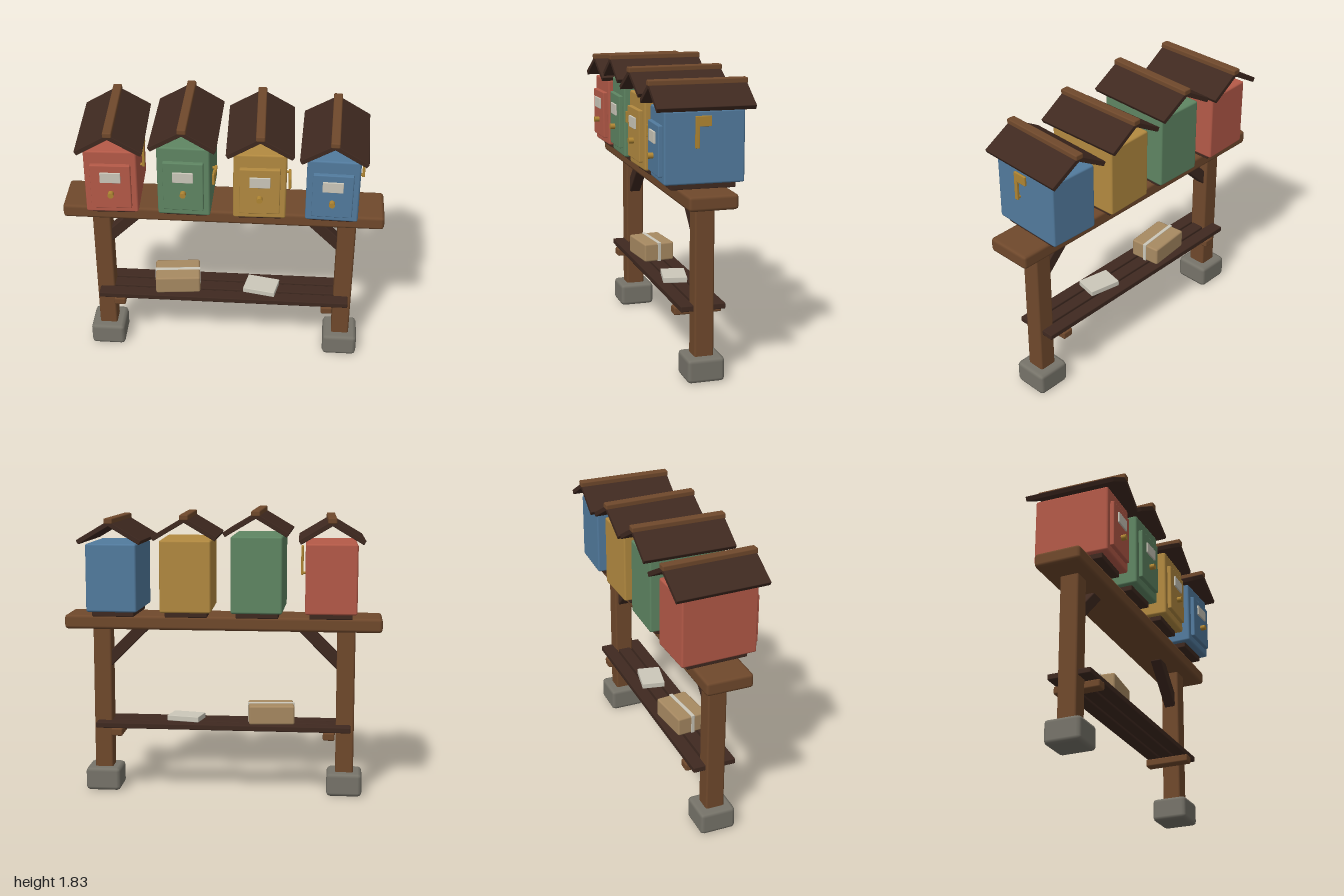
import * as THREE from 'three';
import { RoundedBoxGeometry } from 'three/addons/geometries/RoundedBoxGeometry.js';

const mat = (name, color) => {
  const m = new THREE.MeshStandardMaterial({ color });
  m.name = name;
  return m;
};

export function createModel() {
  const wood = mat('wood', 0x70492c);
  const darkWood = mat('darkWood', 0x3f2920);
  const stone = mat('stone', 0x77746a);
  const brass = mat('brass', 0xb08633);
  const cardboard = mat('cardboard', 0xa88a62);
  const paper = mat('paper', 0xccc8ba);
  const red = mat('red', 0xb55a48);
  const green = mat('green', 0x5f8663);
  const yellow = mat('yellow', 0xb38a40);
  const blue = mat('blue', 0x527b9e);

  const model = new THREE.Group();
  model.name = 'mailboxStand';

  const add = (parent, name, geometry, material, x, y, z) => {
    const mesh = new THREE.Mesh(geometry, material);
    mesh.name = name;
    mesh.position.set(x, y, z);
    parent.add(mesh);
    return mesh;
  };
  // Box with softened edges, centred on x, y, z
  const box = (parent, name, material, [w, h, d], [x, y, z], r = 0.006) =>
    add(parent, name, new RoundedBoxGeometry(w, h, d, 1, r), material, x, y, z);

  // Frame: beam, posts, feet, braces and shelf bearers
  box(model, 'beam', wood, [2, 0.09, 0.296], [0, 1.11, 0], 0.02);
  for (const s of [-1, 1]) {
    box(model, 'foot', stone, [0.224, 0.15, 0.23], [s * 0.777, 0.075, 0], 0.025);
    box(model, 'post', wood, [0.115, 0.98, 0.12], [s * 0.777, 0.59, 0], 0.012);
    const brace = box(model, 'brace', darkWood, [0.38, 0.075, 0.075], [s * 0.63, 0.955, 0], 0.008);
    brace.rotation.z = -s * Math.PI / 4;
    box(model, 'shelfBearer', wood, [0.075, 0.05, 0.296], [s * 0.677, 0.399, 0], 0.01);
  }

  // Slatted shelf
  for (const z of [-0.096, 0, 0.096])
    box(model, 'shelfSlat', darkWood, [1.625, 0.036, 0.084], [0, 0.441, z]);

  // Parcel with a band around it
  const parcel = new THREE.Group();
  parcel.name = 'parcel';
  parcel.position.set(-0.305, 0.459, 0);
  parcel.rotation.y = 0.1;
  model.add(parcel);
  box(parcel, 'carton', cardboard, [0.29, 0.121, 0.205], [0, 0.0605, 0], 0.012);
  box(parcel, 'band', paper, [0.297, 0.126, 0.024], [0, 0.0615, 0], 0.003);

  // Stack of papers
  const papers = box(model, 'papers', paper, [0.21, 0.036, 0.15], [0.245, 0.477, 0.01], 0.004);
  papers.rotation.y = -0.2;

  // One letter box: x, turn, body height, colour, flag raised
  const letterBox = (x, turn, h, material, raised) => {
    const g = new THREE.Group();
    g.name = 'letterBox';
    g.position.set(x, 1.155, 0);
    g.rotation.y = turn;
    model.add(g);
    const mid = 0.032 + h / 2;
    const top = 0.032 + h;

    box(g, 'plinth', darkWood, [0.265, 0.04, 0.39], [0, 0.018, 0]);
    box(g, 'body', material, [0.32, h, 0.48], [0, mid, 0], 0.012);
    box(g, 'door', material, [0.245, h * 0.7, 0.03], [0, mid - 0.02, 0.25]);
    box(g, 'namePlate', paper, [0.125, 0.07, 0.012], [0, mid + 0.05, 0.269], 0.003);
    const knob = add(g, 'knob', new THREE.CylinderGeometry(0.018, 0.018, 0.034, 14), brass, 0, mid - 0.063, 0.279);
    knob.rotation.x = Math.PI / 2;

    // Open gable roof with a ridge cap
    for (const s of [-1, 1]) {
      const panel = box(g, 'roofPanel', darkWood, [0.23, 0.03, 0.585], [s * 0.0975, top + 0.071, 0], 0.004);
      panel.rotation.z = -s * 0.536;
    }
    box(g, 'ridgeCap', wood, [0.055, 0.036, 0.595], [0, top + 0.143, 0], 0.008);

    // Flag turning on a pin, upright or laid forward
    const flag = new THREE.Group();
    flag.name = 'flag';
    flag.position.set(0.18, mid, 0.05);
    if (!raised) flag.rotation.x = Math.PI / 2;
    g.add(flag);
    const width = raised ? 0.083 : 0.06;
    box(flag, 'flagArm', brass, [0.016, 0.185, 0.025], [0, 0.0925, 0], 0.003);
    box(flag, 'flagPlate', brass, [0.014, 0.06, width], [0, 0.155, -width / 2], 0.003);
    const pin = add(flag, 'flagPin', new THREE.CylinderGeometry(0.009, 0.009, 0.03, 10), brass, -0.012, 0.012, 0);
    pin.rotation.z = Math.PI / 2;
  };
  letterBox(-0.675, 0.03, 0.435, red, true);
  letterBox(-0.225, -0.015, 0.477, green, false);
  letterBox(0.225, 0.025, 0.45, yellow, false);
  letterBox(0.675, -0.03, 0.425, blue, true);

  return model;
}
